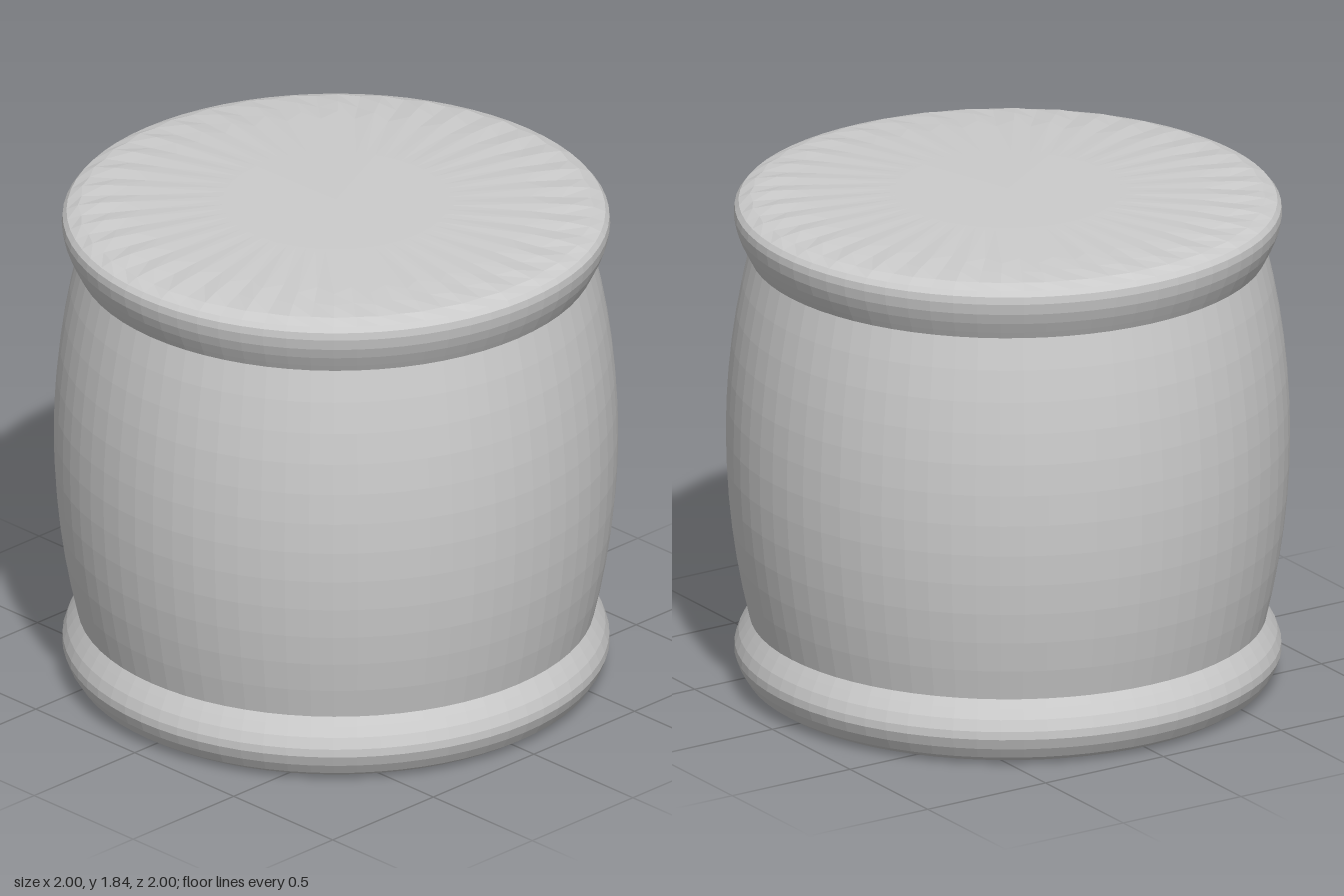
import * as THREE from 'three';

const SEGMENTS = 72;
const material = new THREE.MeshStandardMaterial({ color: 0xcccccc, flatShading: true });

// Turned part from [radius, height] pairs, listed bottom to top
function turned(name, profile) {
  const points = profile.map(([r, y]) => new THREE.Vector2(r, y));
  const mesh = new THREE.Mesh(new THREE.LatheGeometry(points, SEGMENTS), material);
  mesh.name = name;
  return mesh;
}

export function createModel() {
  const group = new THREE.Group();
  group.name = 'barrelStool';

  // Rounded foot ring with a closed underside
  group.add(turned('footRing', [
    [0, 0], [0.8, 0], [0.9, 0.01], [0.93, 0.03], [0.955, 0.07], [0.97, 0.11],
    [0.969, 0.14], [0.955, 0.18], [0.935, 0.215], [0.917, 0.245],
  ]));

  // Bulging barrel wall
  const wall = [];
  for (let i = 0; i <= 12; i++) {
    const t = (i / 12) * 2 - 1;
    wall.push([1 - 0.083 * t * t, 0.925 + 0.68 * t]);
  }
  group.add(turned('barrelBody', wall));

  // Flared rim below the seat
  group.add(turned('seatRim', [
    [0.917, 1.605], [0.93, 1.63], [0.95, 1.67], [0.965, 1.71],
    [0.972, 1.75], [0.969, 1.777], [0.955, 1.795],
  ]));

  // Slightly domed seat, gathered into shallow pleats near its edge
  const seat = turned('seatCushion', [
    [0.955, 1.795], [0.91, 1.811], [0.82, 1.819], [0.72, 1.825], [0.4, 1.833], [0, 1.838],
  ]);
  const pos = seat.geometry.attributes.position;
  const rows = 6;
  for (let i = 0; i < pos.count; i++) {
    const row = i % rows;
    const side = Math.floor(i / rows) % 2 ? 1 : -1;
    if (row < 1 || row > 3) continue;
    const stretch = 1 + side * [0, 0.005, 0.02, 0.04][row];
    pos.setXYZ(i, pos.getX(i) * stretch, pos.getY(i) + side * [0, 0.001, 0.003, 0.001][row], pos.getZ(i) * stretch);
  }
  seat.geometry.computeVertexNormals();
  group.add(seat);

  return group;
}
